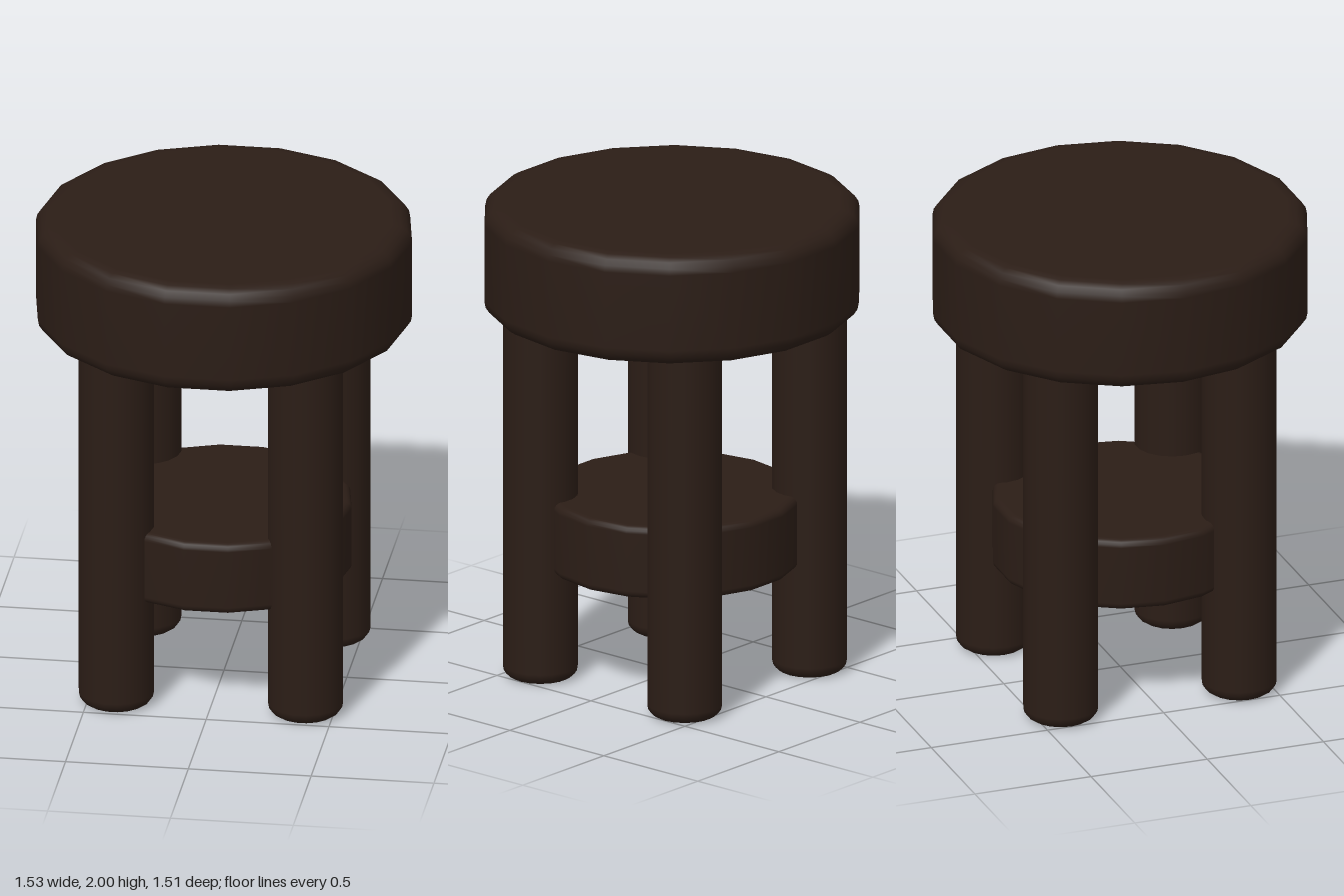
import * as THREE from 'three';

const SIDES = 18;
const wood = new THREE.MeshStandardMaterial({ color: 0x2b1d16 });

// Solid disc or post with rounded rims, turned from a profile (bottom to top)
function roundedDrum(name, radius, y0, y1, bevel, steps = 4) {
  const pts = [new THREE.Vector2(0, y0), new THREE.Vector2(radius - bevel * 1.1, y0)];
  for (let i = 0; i <= steps; i++) {
    const a = (i / steps) * Math.PI / 2;
    pts.push(new THREE.Vector2(radius - bevel + bevel * Math.sin(a), y0 + bevel - bevel * Math.cos(a)));
  }
  for (let i = 0; i <= steps; i++) {
    const a = (i / steps) * Math.PI / 2;
    pts.push(new THREE.Vector2(radius - bevel + bevel * Math.cos(a), y1 - bevel + bevel * Math.sin(a)));
  }
  pts.push(new THREE.Vector2(radius - bevel * 1.1, y1), new THREE.Vector2(0, y1));
  // Start at +x so that a corner of the polygon lies on the x axis
  const mesh = new THREE.Mesh(new THREE.LatheGeometry(pts, SIDES, Math.PI / 2), wood);
  mesh.name = name;
  return mesh;
}

export function createModel() {
  const stool = new THREE.Group();
  stool.name = 'stool';

  // Thick round seat and the smaller shelf joining the legs
  stool.add(roundedDrum('seat', 0.766, 1.54, 2, 0.07));
  stool.add(roundedDrum('shelf', 0.52, 0.47, 0.775, 0.03));

  // Four straight round legs, set into the seat
  const legs = new THREE.Group();
  legs.name = 'legs';
  for (const [zName, z] of [['front', 0.368], ['back', -0.4]]) {
    for (const [xName, x] of [['Left', 0.385], ['Right', -0.385]]) {
      const leg = roundedDrum(`${zName}${xName}Leg`, 0.153, 0, 1.62, 0.05);
      leg.position.set(x, 0, z);
      legs.add(leg);
    }
  }
  stool.add(legs);
  return stool;
}
